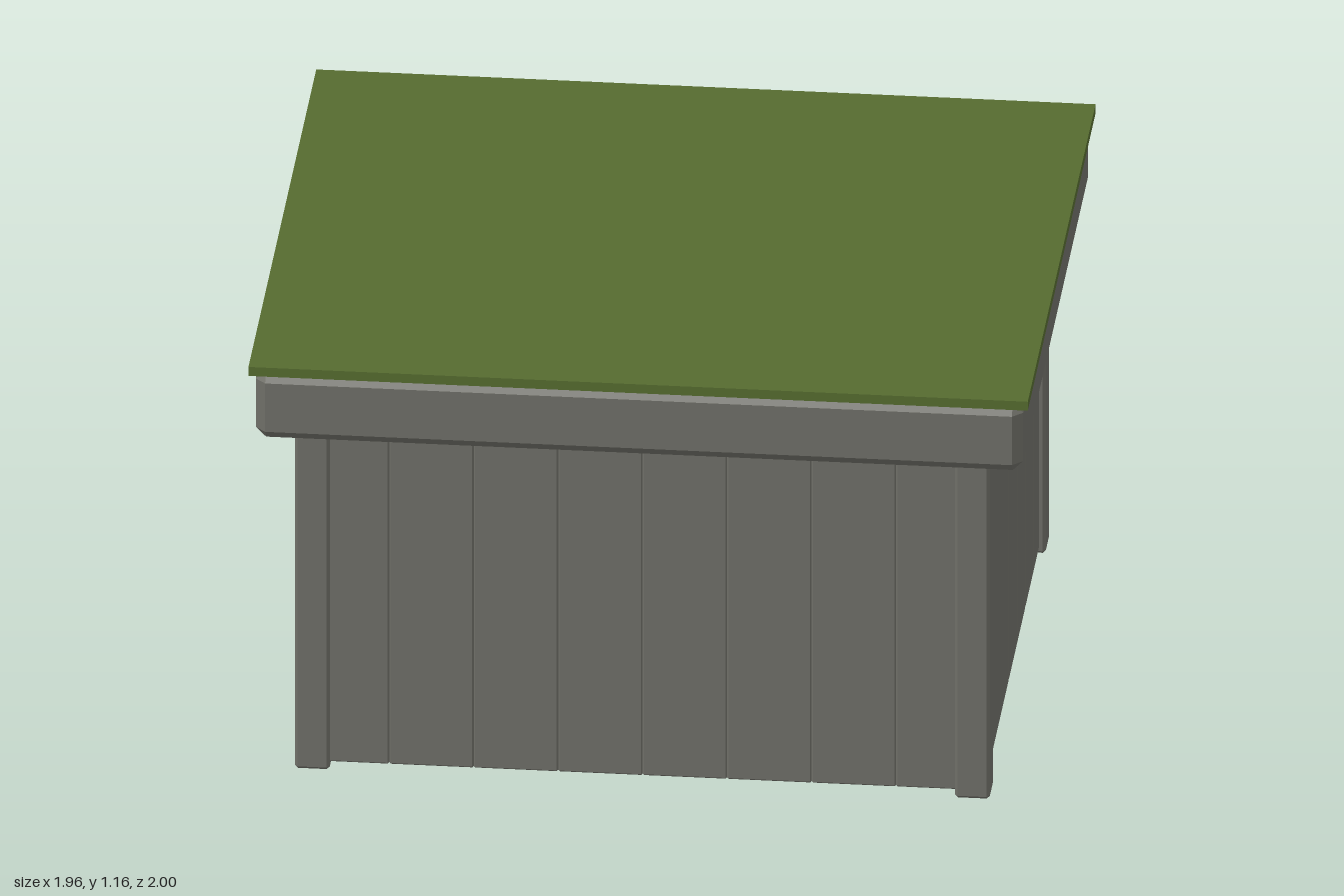
import * as THREE from 'three';
import { ConvexGeometry } from 'three/addons/geometries/ConvexGeometry.js';

// Box with chamfered edges: hull of three boxes, each full-size along one axis
function chamferBox(w, h, d, c) {
  const half = [w / 2, h / 2, d / 2];
  const points = [];
  for (let axis = 0; axis < 3; axis++) {
    const e = half.map((v, i) => (i === axis ? v : v - c));
    for (const a of [-1, 1]) for (const b of [-1, 1]) for (const k of [-1, 1]) {
      points.push(new THREE.Vector3(a * e[0], b * e[1], k * e[2]));
    }
  }
  return new ConvexGeometry(points);
}

export function createModel() {
  const model = new THREE.Group();
  model.name = 'shed';

  const concrete = new THREE.MeshStandardMaterial({ color: 0x6e6e67 });
  concrete.name = 'grey concrete';
  const grass = new THREE.MeshStandardMaterial({ color: 0x556b2f });
  grass.name = 'grass green';
  const sand = new THREE.MeshStandardMaterial({ color: 0xa39474 });
  sand.name = 'sandstone';

  function add(name, geometry, material, x, y, z) {
    const mesh = new THREE.Mesh(geometry, material);
    mesh.name = name;
    mesh.position.set(x, y, z);
    model.add(mesh);
    return mesh;
  }

  // Part given by its extents [min, max] along each axis
  function block(name, xs, ys, zs, chamfer = 0, material = concrete) {
    const w = xs[1] - xs[0], h = ys[1] - ys[0], d = zs[1] - zs[0];
    const geometry = chamfer ? chamferBox(w, h, d, chamfer) : new THREE.BoxGeometry(w, h, d);
    add(name, geometry, material, (xs[0] + xs[1]) / 2, (ys[0] + ys[1]) / 2, (zs[0] + zs[1]) / 2);
  }

  const midZ = 0.16;
  const wallY = [0.018, 0.965];
  const front = [0.848, 0.888], back = [-0.568, -0.528];
  const plank = 0.2125, bevel = 0.004;

  // Roof: turf sheet over a chamfered slab
  block('turfRoof', [-0.98, 0.98], [1.14, 1.165], [-0.69, 1.0], 0, grass);
  block('roofSlab', [-0.965, 0.965], [0.955, 1.142], [-0.675, 0.99], 0.026);

  // Floor
  block('floor', [-0.84, 0.84], [0.02, 0.08], [-0.55, 0.87]);

  // Corner posts
  for (const x of [-0.83, 0.83]) {
    for (const z of [-0.538, 0.858]) {
      add('cornerPost', chamferBox(0.088, 0.96, 0.088, 0.008), concrete, x, 0.48, z);
    }
  }

  // Front wall planks
  for (let i = 0; i < 8; i++) {
    const x = -0.85 + i * plank;
    block('frontPlank', [x, x + plank], wallY, front, bevel);
  }

  // Side wall planks
  for (const side of [-1, 1]) {
    for (let i = 0; i < 7; i++) {
      const z = midZ + (i - 3.5) * 0.206;
      block('sidePlank', side < 0 ? [-0.858, -0.818] : [0.818, 0.858], wallY, [z, z + 0.206], bevel);
    }
  }

  // Back wall planks on both sides of the opening
  const edges = [0.33, 0.425, 0.6375, 0.85];
  for (let i = 0; i < 3; i++) {
    block('backPlank', [edges[i], edges[i + 1]], wallY, back, bevel);
    block('backPlank', [-edges[i + 1], -edges[i]], wallY, back, bevel);
  }

  // Sill and header of the opening
  const jambs = [-0.33, -0.2125, 0, 0.2125, 0.33];
  for (let i = 0; i < 4; i++) {
    block('openingSill', [jambs[i], jambs[i + 1]], [0.018, 0.09], back, bevel);
    block('openingHeader', [jambs[i], jambs[i + 1]], [0.88, 0.965], back, bevel);
  }

  // Deep upright fins dividing the opening
  for (const x of jambs.slice(1, 4)) {
    block('openingFin', [x - 0.006, x + 0.006], [0.08, 0.96], [-0.562, -0.362]);
  }

  // Row of faceted stones behind the building
  const stone = new THREE.IcosahedronGeometry(1, 0);
  stone.rotateX(Math.PI / 2);
  stone.scale(0.135, 0.0635, 0.0645);
  for (let i = -2; i <= 2; i++) add('stone', stone, sand, i * 0.281 - 0.003, 0.073, -0.945);

  return model;
}
